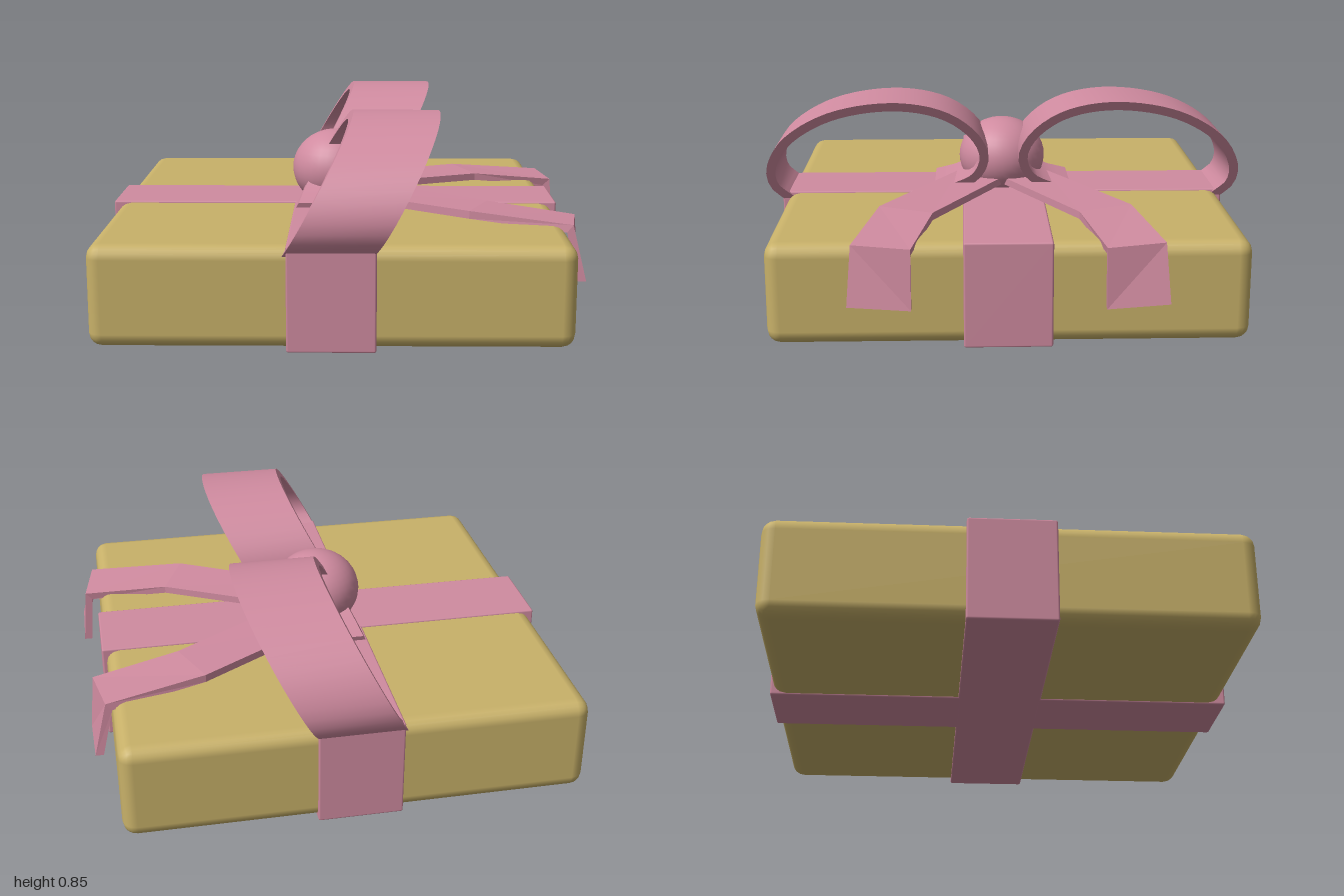
import * as THREE from 'three';
import { toCreasedNormals } from 'three/addons/utils/BufferGeometryUtils.js';
import { RoundedBoxGeometry } from 'three/addons/geometries/RoundedBoxGeometry.js';

const gold = new THREE.MeshStandardMaterial({ color: 0xc8b169 });
gold.name = 'gold paper';
const pink = new THREE.MeshStandardMaterial({ color: 0xd08ba0 });
pink.name = 'pink ribbon';

function part(name, geometry, material, x = 0, y = 0, z = 0) {
  const mesh = new THREE.Mesh(geometry, material);
  mesh.name = name;
  mesh.position.set(x, y, z);
  return mesh;
}

// Bow loop: a curved band extruded across its width, leaning sideways as it rises
function loopGeometry(side) {
  const path = [[0.92, 0.37], [0.985, 0.44], [0.995, 0.53], [0.92, 0.67], [0.72, 0.8], [0.44, 0.847],
    [0.23, 0.8], [0.1, 0.69], [0.062, 0.58], [0.1, 0.48], [0.18, 0.43], [0.28, 0.4]];
  const curve = new THREE.CatmullRomCurve3(path.map(([z, y]) => new THREE.Vector3(z, y, 0)));
  const outer = [], inner = [];
  for (let i = 0; i <= 40; i++) {
    const p = curve.getPointAt(i / 40), t = curve.getTangentAt(i / 40);
    outer.push(new THREE.Vector2(-side * p.x, p.y));
    inner.push(new THREE.Vector2(-side * (p.x - t.y * 0.038), p.y + t.x * 0.038));
  }
  const shape = new THREE.Shape([...outer, ...inner.reverse()]);
  const geometry = new THREE.ExtrudeGeometry(shape, { depth: 0.345, bevelEnabled: false });
  geometry.rotateY(Math.PI / 2);
  const pos = geometry.attributes.position;
  for (let i = 0; i < pos.count; i++) {
    pos.setX(i, pos.getX(i) - 0.22 + (pos.getY(i) - 0.37) * 0.555);
  }
  return toCreasedNormals(geometry, 0.6);
}

// Ribbon tail: four-cornered sections from the knot, over the box edge and down
function tailGeometry(side) {
  const rows = [ // outer top, inner top, inner bottom, outer bottom
    [[-0.03, 0.465, 0.19], [0.1, 0.465, 0], [0.1, 0.435, 0], [-0.03, 0.435, 0.19]],
    [[0.51, 0.452, 0.505], [0.6, 0.448, 0.29], [0.6, 0.418, 0.29], [0.51, 0.42, 0.505]],
    [[0.915, 0.415, 0.59], [0.955, 0.408, 0.365], [0.925, 0.378, 0.365], [0.89, 0.385, 0.59]],
    [[0.97, 0.19, 0.605], [0.975, 0.175, 0.365], [0.942, 0.175, 0.365], [0.937, 0.19, 0.605]],
  ];
  const points = rows.flat().flatMap(([x, y, z]) => [x, y, z * side]);
  const index = [];
  const quad = (a, b, c, d) => index.push(...(side > 0 ? [a, b, c, a, c, d] : [a, c, b, a, d, c]));
  for (let r = 0; r < 3; r++) {
    for (let k = 0; k < 4; k++) {
      const a = r * 4 + k, b = r * 4 + (k + 1) % 4;
      quad(a, a + 4, b + 4, b);
    }
  }
  quad(0, 1, 2, 3);
  quad(15, 14, 13, 12);
  const geometry = new THREE.BufferGeometry();
  geometry.setAttribute('position', new THREE.Float32BufferAttribute(points, 3));
  geometry.setIndex(index);
  const flat = geometry.toNonIndexed();
  flat.computeVertexNormals();
  return flat;
}

export function createModel() {
  const model = new THREE.Group();
  model.name = 'giftBox';
  const cx = -0.035;

  // Wrapped box
  model.add(part('box', new RoundedBoxGeometry(1.85, 0.4, 1.85, 2, 0.055), gold, cx, 0.208, -0.004));

  // Crossed ribbon bands
  model.add(part('ribbonAcross', new RoundedBoxGeometry(1.885, 0.416, 0.34, 1, 0.008), pink, cx, 0.208, 0));
  model.add(part('ribbonAlong', new RoundedBoxGeometry(0.34, 0.414, 1.88, 1, 0.008), pink, cx, 0.208, 0));

  // Knot
  const knot = part('knot', new THREE.SphereGeometry(0.185, 32, 20), pink, cx, 0.535, 0);
  knot.scale.y = 0.9;
  model.add(knot);

  // Bow loops and tails on both sides
  for (const side of [1, -1]) {
    const label = side > 0 ? 'Front' : 'Back';
    model.add(part('loop' + label, loopGeometry(side), pink));
    model.add(part('tail' + label, tailGeometry(side), pink));
  }
  return model;
}
